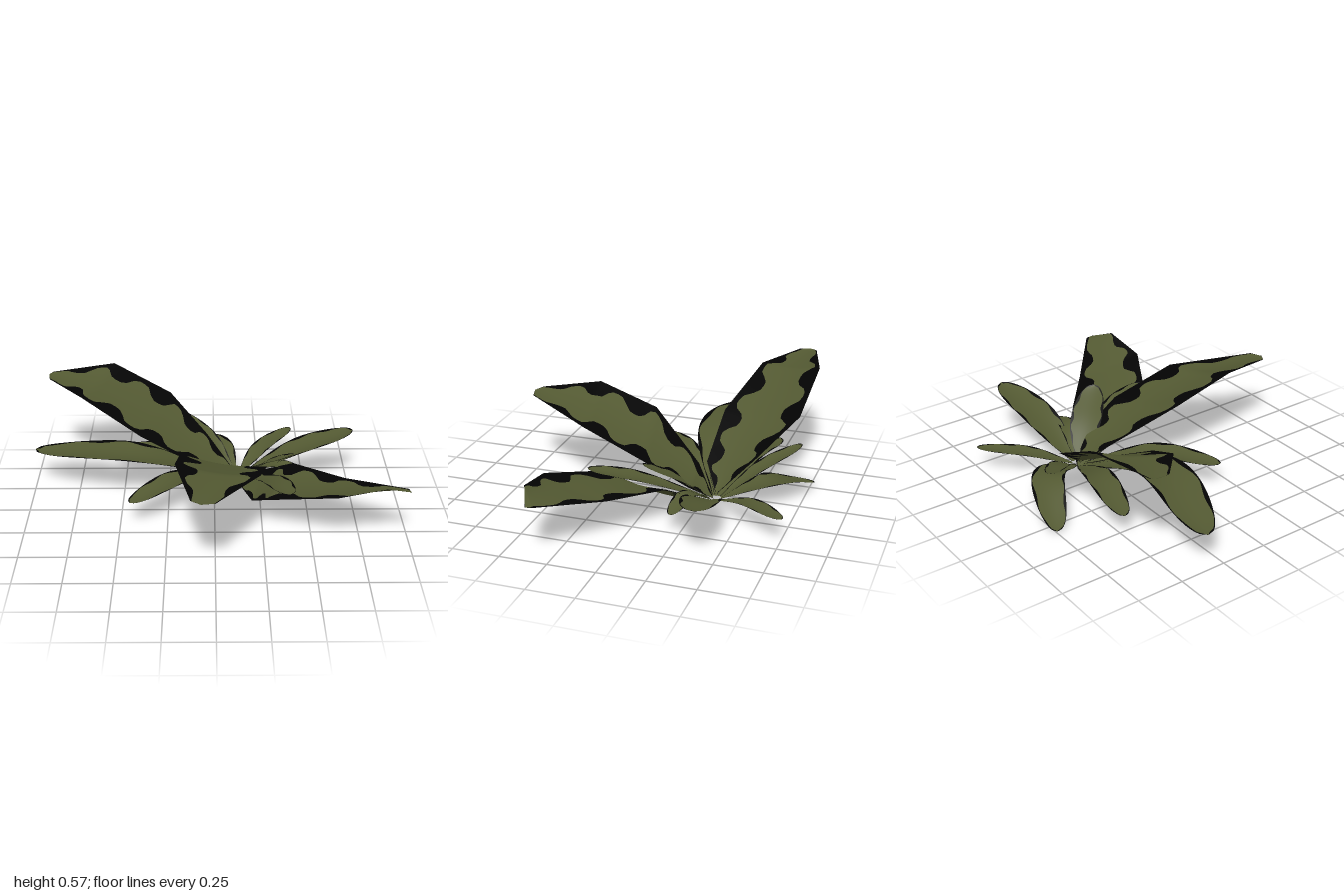
import * as THREE from 'three';

const green = new THREE.MeshStandardMaterial({ color: 0x535932, side: THREE.DoubleSide });
green.name = 'leafGreen';
const black = new THREE.MeshStandardMaterial({ color: 0x030303, side: THREE.DoubleSide });
black.name = 'leafEdgeBlack';

const V = (p) => new THREE.Vector3(...p);
const CENTRE = V([0.13, 0.045, -0.33]);
const ROWS = 60;
const COLS = 9;

// Leaf surface between two rails: black borders (v 0..m, 1-n..1) around a green blade
function blade(name, leftAt, rightAt, margin, sag) {
  const at = (u, v) => {
    const a = leftAt(u), b = rightAt(u);
    const dip = sag * a.distanceTo(b) * Math.sin(Math.PI * v);
    const p = a.lerp(b, v);
    p.y -= dip;
    return p;
  };
  const geometry = new THREE.BufferGeometry();
  const pos = [], border = [], middle = [];
  for (let i = 0; i <= ROWS; i++) {
    const u = i / ROWS;
    // the borders meet at the tip
    const cap = 0.45 * THREE.MathUtils.smoothstep(u, 0.955, 1);
    const m = Math.max(cap, margin(u, 0)), n = Math.max(cap, margin(u, 1));
    for (let j = 0; j < COLS; j++) {
      const v = j === 0 ? 0 : j === COLS - 1 ? 1 : m + ((1 - n - m) * (j - 1)) / (COLS - 3);
      pos.push(...at(u, v).toArray());
    }
  }
  for (let i = 0; i < ROWS; i++) {
    for (let j = 0; j < COLS - 1; j++) {
      const a = i * COLS + j, b = a + 1, c = a + COLS, d = c + 1;
      const list = j === 0 || j === COLS - 2 ? border : middle;
      list.push(a, b, c, b, d, c);
    }
  }
  geometry.setAttribute('position', new THREE.Float32BufferAttribute(pos, 3));
  geometry.setIndex([...middle, ...border]);
  geometry.addGroup(0, middle.length, 0);
  geometry.addGroup(middle.length, border.length, 1);
  geometry.computeVertexNormals();
  const mesh = new THREE.Mesh(geometry, [green, black]);
  mesh.name = name;
  return mesh;
}

// Broad leaf from two angular edge rails, with deep scalloped dark borders
function broadLeaf(name, base, tip, left, right, phase) {
  const rail = (pts) => {
    const points = [base, ...pts, tip].map(V);
    return (u) => {
      const s = u * (points.length - 1);
      const i = Math.min(Math.floor(s), points.length - 2);
      return points[i].clone().lerp(points[i + 1], s - i);
    };
  };
  const margin = (u, side) => {
    const fade = 1 - THREE.MathUtils.smoothstep(u, 0.62, 0.9);
    const wave = Math.tanh(1.6 * Math.sin(u * Math.PI * 14 + phase + side * 2));
    return 0.035 + fade * (0.135 + 0.1 * wave);
  };
  return blade(name, rail(left), rail(right), margin, 0.05);
}

// Narrow leaf along an arched midrib
function narrowLeaf(name, mid, tip, width) {
  const out = V(mid).sub(CENTRE).setY(0.005).normalize().multiplyScalar(0.03);
  const curve = new THREE.CatmullRomCurve3([CENTRE.clone().add(out), V(mid), V(tip)]);
  const edge = (sign) => (u) => {
    const t = curve.getTangent(u);
    const side = new THREE.Vector3(-t.z, 0, t.x).normalize();
    const w = u < 0.55
      ? 0.14 + 0.86 * Math.sin((u / 0.55) * Math.PI / 2)
      : Math.sqrt(Math.max(0, 1 - ((u - 0.55) / 0.45) ** 2.3));
    return curve.getPoint(u).addScaledVector(side, sign * w * width / 2);
  };
  const margin = (u, side) => 0.06 + 0.035 * Math.sin(u * 26 + side * 2);
  return blade(name, edge(-1), edge(1), margin, 0.08);
}

export function createModel() {
  const plant = new THREE.Group();
  plant.name = 'leafyPlant';

  // Three broad leaves
  plant.add(
    broadLeaf('broadFrontLeaf', [0.13, 0.04, -0.32], [-0.07, 0.445, 0.77],
      [[0.0, 0.17, -0.2], [-0.18, 0.385, 0.1], [-0.2, 0.49, 0.43], [-0.12, 0.45, 0.74]],
      [[0.25, 0.14, -0.22], [0.28, 0.27, 0.02], [0.23, 0.39, 0.36], [0.0, 0.44, 0.75]], 0),
    broadLeaf('broadLeftLeaf', [0.13, 0.0, -0.33], [1.0, 0.285, 0.35],
      [[0.2, 0.08, 0.05], [0.27, 0.18, 0.23], [0.62, 0.29, 0.42], [0.87, 0.335, 0.41]],
      [[0.27, 0.1, -0.28], [0.43, 0.2, -0.16], [0.69, 0.22, 0.06], [0.99, 0.285, 0.31]], 1),
    broadLeaf('broadBackLeaf', [0.12, 0.06, -0.33], [-0.93, 0.555, -0.58],
      [[-0.04, 0.22, -0.5], [-0.25, 0.4, -0.68], [-0.57, 0.57, -0.71], [-0.91, 0.555, -0.62]],
      [[-0.08, 0.15, -0.22], [-0.4, 0.33, -0.225], [-0.73, 0.51, -0.35], [-0.92, 0.55, -0.52]], 2),
  );

  // Narrow leaves: name, midrib point, tip, width
  const narrow = [
    ['longRightLeaf', [-0.42, 0.245, -0.21], [-1.0, 0.2, -0.35], 0.25],
    ['longLeftLeaf', [0.46, 0.205, -0.36], [0.78, 0.285, -0.41], 0.2],
    ['droopingBackLeaf', [0.0, 0.135, -0.59], [-0.32, 0.01, -0.75], 0.17],
    ['raisedBackLeaf', [-0.03, 0.19, -0.53], [-0.2, 0.27, -0.71], 0.11],
    ['backLeftLeaf', [0.27, 0.12, -0.54], [0.45, 0.14, -0.76], 0.11],
    ['frontRightLeaf', [-0.18, 0.175, -0.06], [-0.45, 0.14, 0.18], 0.16],
    ['lowRightLeaf', [-0.2, 0.165, -0.42], [-0.56, 0.135, -0.51], 0.15],
    ['lowLeftLeaf', [0.34, 0.155, -0.25], [0.53, 0.115, -0.21], 0.1],
    ['uprightInnerLeaf', [0.26, 0.19, -0.19], [0.41, 0.31, -0.03], 0.17],
    ['frontInnerLeaf', [0.31, 0.195, 0.02], [0.39, 0.24, 0.28], 0.14],
  ];
  for (const args of narrow) plant.add(narrowLeaf(...args));
  return plant;
}
